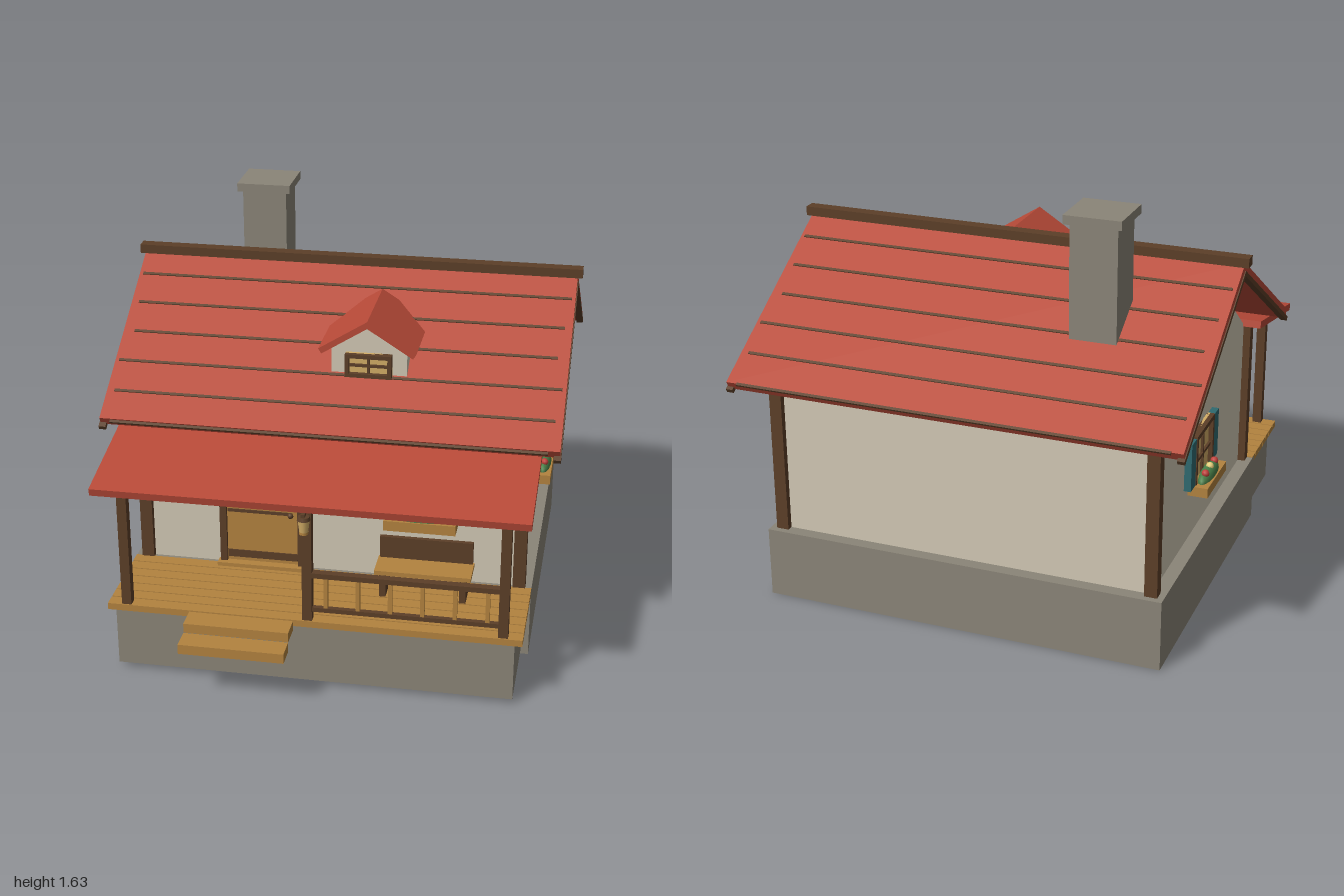
import * as THREE from 'three';

const colour = (name, color) => {
  const m = new THREE.MeshStandardMaterial({ color });
  m.name = name;
  return m;
};
const red = colour('roof red', 0xb84a38);
const plaster = colour('plaster', 0xd2c9b5);
const stone = colour('stone', 0x8b8578);
const brown = colour('dark timber', 0x5c3f28);
const tan = colour('light timber', 0xb3833f);
const teal = colour('shutter teal', 0x2f6a70);
const glass = colour('warm glass', 0xd3ad66);
const green = colour('leaf green', 0x4a8048);
const petal = colour('petal red', 0xc0403a);
const cream = colour('petal cream', 0xe6cf7a);

function add(parent, name, geo, mat) {
  const mesh = new THREE.Mesh(geo, mat);
  mesh.name = name;
  parent.add(mesh);
  return mesh;
}

// Box given by its extents on each axis
function box(parent, name, mat, [x0, x1], [y0, y1], [z0, z1]) {
  const mesh = add(parent, name, new THREE.BoxGeometry(x1 - x0, y1 - y0, z1 - z0), mat);
  mesh.position.set((x0 + x1) / 2, (y0 + y1) / 2, (z0 + z1) / 2);
  return mesh;
}

// Sloping board whose top surface runs from (za, ya) to (zb, yb), za < zb
function slab(parent, name, mat, [x0, x1], [za, ya], [zb, yb], t) {
  const a = -Math.atan2(yb - ya, zb - za);
  const mesh = add(parent, name, new THREE.BoxGeometry(x1 - x0, t, Math.hypot(zb - za, yb - ya)), mat);
  mesh.rotation.x = a;
  mesh.position.set((x0 + x1) / 2, (ya + yb) / 2 - Math.cos(a) * t / 2, (za + zb) / 2 - Math.sin(a) * t / 2);
  return mesh;
}

// Gable-ended block: profile points [u, y] extruded along z
function prism(points, depth) {
  const shape = new THREE.Shape(points.map(([u, y]) => new THREE.Vector2(u, y)));
  return new THREE.ExtrudeGeometry(shape, { depth, bevelEnabled: false });
}

// Framed panes with a crossbar, centred on the origin and facing +z
function panes(parent, w, h, bar) {
  box(parent, 'windowGlass', glass, [-w, w], [-h, h], [-0.01, 0.012]);
  for (const s of [-1, 1]) {
    box(parent, 'windowJamb', brown, [s * (w - bar / 2) - bar / 2, s * (w - bar / 2) + bar / 2], [-h, h], [-0.01, 0.03]);
    box(parent, 'windowRail', brown, [-w, w], [s * (h - bar / 2) - bar / 2, s * (h - bar / 2) + bar / 2], [-0.01, 0.03]);
  }
  box(parent, 'mullion', brown, [-bar / 3, bar / 3], [-h, h], [-0.01, 0.022]);
  box(parent, 'crossbar', brown, [-w, w], [-bar / 3, bar / 3], [-0.01, 0.022]);
}

// Window with shutters and a planted box
function shutteredWindow() {
  const g = new THREE.Group();
  g.name = 'window';
  panes(g, 0.13, 0.125, 0.02);
  for (const s of [-1, 1]) {
    const c = s * 0.168;
    box(g, 'shutter', teal, [c - 0.033, c + 0.033], [-0.085, 0.12], [-0.01, 0.028]);
  }
  box(g, 'flowerBox', tan, [-0.143, 0.143], [-0.13, -0.088], [0, 0.08]);
  const leaves = add(g, 'leaves', new THREE.SphereGeometry(1, 14, 8), green);
  leaves.scale.set(0.118, 0.04, 0.03);
  leaves.position.set(0, -0.09, 0.045);
  [[-0.068, petal], [0, cream], [0.068, petal]].forEach(([x, m], i) => {
    add(g, 'flower', new THREE.SphereGeometry(0.016, 8, 6), m).position.set(x, i === 1 ? -0.052 : -0.056, 0.05);
  });
  return g;
}

function buildHouse(g) {
  box(g, 'foundation', stone, [-0.81, 0.81], [0, 0.285], [-0.91, 0.43]);
  const walls = add(g, 'walls', prism([[-0.385, 0.28], [0.86, 0.28], [0.86, 0.89], [0.24, 1.355], [-0.385, 0.89]], 1.51), plaster);
  walls.rotation.y = Math.PI / 2;
  walls.position.x = -0.755;
  for (const s of [-1, 1]) for (const z of [-0.862, 0.387]) {
    box(g, 'cornerPost', brown, [s * 0.76 - 0.025, s * 0.76 + 0.025], [0.285, 0.905], [z - 0.023, z + 0.023]);
  }
  const front = shutteredWindow();
  front.position.set(0.365, 0.655, 0.385);
  g.add(front);
  for (const s of [-1, 1]) {
    const side = shutteredWindow();
    side.rotation.y = s * Math.PI / 2;
    side.scale.set(0.93, 0.96, 1);
    side.position.set(s * 0.755, 0.605, -0.28);
    g.add(side);
  }
}

function buildRoof(g) {
  const apex = [-0.24, 1.39], slope = 0.597;
  const at = (z) => [z, 1.39 - Math.abs(z + 0.24) * slope];
  slab(g, 'frontRoof', red, [-0.9, 0.9], apex, at(0.51), 0.038);
  slab(g, 'backRoof', red, [-0.9, 0.9], at(-0.998), apex, 0.038);
  for (const s of [-1, 1]) {
    const x = [s * 0.89 - 0.014, s * 0.89 + 0.014];
    slab(g, 'bargeBoard', brown, x, [-0.24, 1.358], [0.515, 0.908], 0.018);
    slab(g, 'bargeBoard', brown, x, [-0.998, 0.908], [-0.24, 1.358], 0.018);
  }
  // Thin shingle lines down both slopes
  for (let i = 0; i < 6; i++) {
    const d = 0.117 + i * 0.129, w = 0.885 - (i % 3) * 0.015;
    for (const z of [-0.24 + d, -0.24 - d]) {
      const [za, ya] = at(z - 0.005), [zb, yb] = at(z + 0.005);
      slab(g, 'shingleLine', brown, [-w, w], [za, ya + 0.004], [zb, yb + 0.004], 0.008);
    }
  }
  box(g, 'ridgeCap', brown, [-0.92, 0.92], [1.378, 1.415], [-0.265, -0.215]);
  box(g, 'chimney', stone, [-0.53, -0.345], [1.06, 1.6], [-0.635, -0.45]);
  box(g, 'chimneyCap', stone, [-0.55, -0.325], [1.6, 1.635], [-0.655, -0.43]);
}

function buildDormer(g) {
  const wall = [[-0.15, 1], [0.15, 1], [0.15, 1.2], [0, 1.31], [-0.15, 1.2]];
  add(g, 'dormerWall', prism(wall, 0.27), plaster).position.set(0.128, 0, -0.02);
  const roof = new THREE.Group();
  roof.name = 'dormerRoof';
  roof.rotation.y = Math.PI / 2;
  roof.position.x = 0.128;
  slab(roof, 'dormerRoofSide', red, [-0.305, 0.075], [-0.193, 1.213], [0, 1.335], 0.024);
  slab(roof, 'dormerRoofSide', red, [-0.305, 0.075], [0, 1.335], [0.193, 1.213], 0.024);
  g.add(roof);
  const win = new THREE.Group();
  win.name = 'dormerWindow';
  panes(win, 0.092, 0.048, 0.016);
  win.position.set(0.128, 1.138, 0.25);
  g.add(win);
}

function buildDoor(g) {
  box(g, 'doorPanel', tan, [-0.425, -0.13], [0.3, 0.775], [0.38, 0.405]);
  for (const x of [-0.437, -0.118]) box(g, 'doorJamb', brown, [x - 0.014, x + 0.014], [0.285, 0.79], [0.38, 0.42]);
  box(g, 'doorLintel', brown, [-0.451, -0.104], [0.77, 0.8], [0.38, 0.42]);
  box(g, 'doorKickBoard', brown, [-0.42, -0.135], [0.32, 0.352], [0.4, 0.409]);
  box(g, 'doorBar', brown, [-0.42, -0.16], [0.524, 0.537], [0.4, 0.409]);
  box(g, 'doorWindow', glass, [-0.335, -0.22], [0.61, 0.7], [0.4, 0.409]);
  add(g, 'doorKnob', new THREE.SphereGeometry(0.012, 10, 8), brown).position.set(-0.16, 0.53, 0.418);
  box(g, 'doorSill', tan, [-0.46, -0.09], [0.285, 0.305], [0.4, 0.44]);
}

function buildPorch(g) {
  box(g, 'porchBase', stone, [-0.78, 0.78], [0.02, 0.262], [0.42, 0.8]);
  for (let i = 0; i < 7; i++) {
    const z = 0.405 + i * 0.0585;
    box(g, 'deckPlank', tan, [-0.81, 0.81], [0.262, 0.289], [z, z + 0.053]);
  }
  box(g, 'upperStep', tan, [-0.48, -0.07], [0.25, 0.289], [0.818, 0.91]);
  box(g, 'lowerStep', tan, [-0.48, -0.07], [0.21, 0.25], [0.912, 1]);
  slab(g, 'porchRoof', red, [-0.83, 0.83], [0.355, 0.932], [0.893, 0.825], 0.03);
  for (const x of [-0.735, -0.018, 0.735]) {
    box(g, 'porchPost', brown, [x - 0.019, x + 0.019], [0.285, 0.82], [0.766, 0.804]);
  }
  // Railing on the right of the steps
  box(g, 'topRail', brown, [0, 0.72], [0.474, 0.495], [0.77, 0.8]);
  box(g, 'bottomRail', brown, [0, 0.72], [0.325, 0.343], [0.775, 0.795]);
  for (let i = 0; i < 6; i++) {
    const x = 0.053 + i * 0.124;
    box(g, 'baluster', tan, [x - 0.008, x + 0.008], [0.34, 0.478], [0.777, 0.793]);
  }
  // Hanging lantern on the middle post
  box(g, 'lanternBracket', brown, [-0.025, -0.011], [0.762, 0.775], [0.8, 0.865]);
  const parts = [[0.022, 0.026, 0.014, 0.752, brown], [0.023, 0.017, 0.05, 0.72, glass], [0.018, 0.018, 0.01, 0.692, tan]];
  for (const [top, bottom, h, y, m] of parts) {
    add(g, 'lantern', new THREE.CylinderGeometry(top, bottom, h, 10), m).position.set(-0.018, y, 0.845);
  }
}

function buildBench(g) {
  box(g, 'benchSeat', tan, [0.205, 0.585], [0.388, 0.406], [0.452, 0.58]);
  box(g, 'benchBack', brown, [0.21, 0.58], [0.406, 0.497], [0.446, 0.464]);
  for (const x of [0.237, 0.553]) {
    box(g, 'benchLeg', brown, [x - 0.013, x + 0.013], [0.288, 0.39], [0.46, 0.572]);
  }
}

export function createModel() {
  const model = new THREE.Group();
  model.name = 'cottage';
  const sections = { house: buildHouse, roof: buildRoof, dormer: buildDormer, door: buildDoor, porch: buildPorch, bench: buildBench };
  for (const [name, build] of Object.entries(sections)) {
    const g = new THREE.Group();
    g.name = name;
    build(g);
    model.add(g);
  }
  return model;
}
